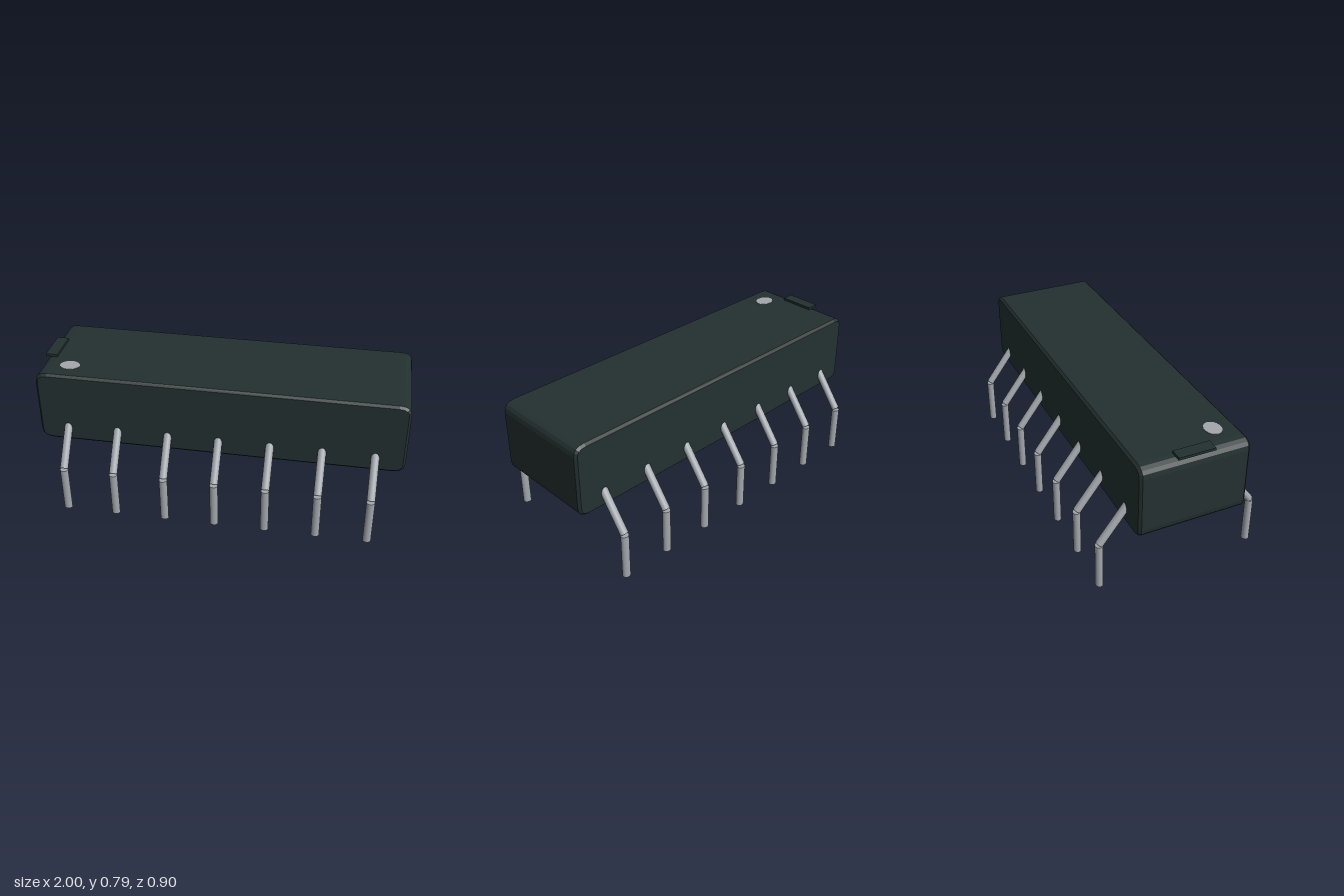
import * as THREE from 'three';

export function createModel() {
  const chip = new THREE.Group();
  chip.name = 'integratedCircuit';

  const plastic = new THREE.MeshStandardMaterial({ color: 0x243030 });
  plastic.name = 'dark plastic';
  const metal = new THREE.MeshStandardMaterial({ color: 0xa3a8ad });
  metal.name = 'grey metal';

  const add = (name, geometry, material, parent = chip) => {
    const mesh = new THREE.Mesh(geometry, material);
    mesh.name = name;
    parent.add(mesh);
    return mesh;
  };

  // Body: rounded front outline with a small chamfer on the long edges
  const bottom = 0.368, top = 0.778, halfDepth = 0.293;
  const rx = 0.065, ry = 0.055, bevel = 0.013;
  const outline = new THREE.Shape();
  outline.moveTo(-1 + rx, bottom);
  outline.lineTo(1 - rx, bottom);
  outline.quadraticCurveTo(1, bottom, 1, bottom + ry);
  outline.lineTo(1, top - ry);
  outline.quadraticCurveTo(1, top, 1 - rx, top);
  outline.lineTo(-1 + rx, top);
  outline.quadraticCurveTo(-1, top, -1, top - ry);
  outline.lineTo(-1, bottom + ry);
  outline.quadraticCurveTo(-1, bottom, -1 + rx, bottom);
  const bodyGeometry = new THREE.ExtrudeGeometry(outline, {
    depth: 2 * (halfDepth - bevel), curveSegments: 4,
    bevelEnabled: true, bevelSegments: 1, bevelThickness: bevel,
    bevelSize: bevel, bevelOffset: -bevel,
  });
  bodyGeometry.translate(0, 0, -(halfDepth - bevel));
  add('body', bodyGeometry, plastic);

  // Orientation key at the end of the top face
  add('orientationKey', new THREE.BoxGeometry(0.065, 0.014, 0.196), plastic)
    .position.set(-0.9675, 0.785, 0);

  // Oval marker for the first pin
  const dot = add('pinOneMarker', new THREE.CylinderGeometry(1, 1, 0.004, 24), metal);
  dot.scale.set(0.055, 1, 0.044);
  dot.position.set(-0.837, top, 0.174);

  // Pins: an upright foot and a sloping arm running into the body
  const footGeometry = new THREE.CylinderGeometry(0.02, 0.02, 0.26, 16);
  footGeometry.scale(1.13, 1, 1);
  footGeometry.translate(0, 0.13, 0.43);

  const armStart = new THREE.Vector3(0, 0.267, 0.428);
  const armEnd = new THREE.Vector3(0, 0.488, 0.262);
  const armAxis = armEnd.clone().sub(armStart);
  const armGeometry = new THREE.CylinderGeometry(0.02, 0.02, armAxis.length(), 16);
  armGeometry.scale(1.13, 1, 1);
  armGeometry.rotateX(Math.atan2(armAxis.z, armAxis.y));
  armGeometry.translate(0, (armStart.y + armEnd.y) / 2, (armStart.z + armEnd.z) / 2);

  for (const side of ['front', 'back']) {
    for (let i = 0; i < 7; i++) {
      const pin = new THREE.Group();
      pin.name = `${side}Pin${i + 1}`;
      add('pinFoot', footGeometry, metal, pin);
      add('pinArm', armGeometry, metal, pin);
      pin.position.x = (i - 3) * 0.28;
      if (side === 'back') pin.rotation.y = Math.PI;
      chip.add(pin);
    }
  }

  return chip;
}
